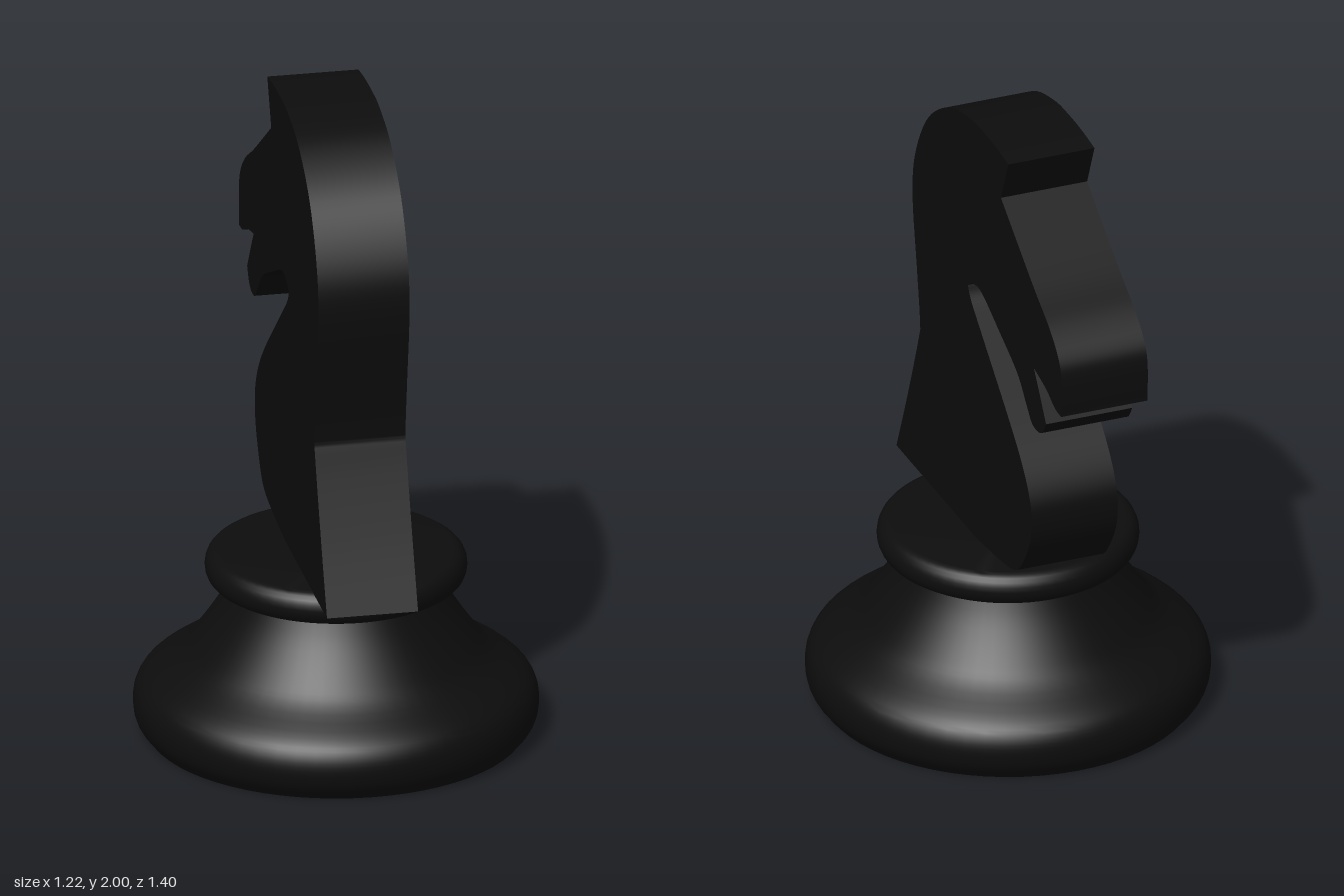
import * as THREE from 'three';
import { toCreasedNormals } from 'three/addons/utils/BufferGeometryUtils.js';

const AXIS_Z = 0.09;      // the turned base sits slightly forward
const TURN = 0.187;       // the head is turned a little to its left
const THICKNESS = 0.28;

const vec = ([x, y]) => new THREE.Vector2(x, y);

// Side outline as smooth runs that meet in sharp corners (x = forward, y = up)
function headShape() {
  const runs = [
    // back of the neck and crown
    [[-0.549, 0.584], [-0.46, 0.8], [-0.37, 1.04], [-0.36, 1.1], [-0.385, 1.27], [-0.42, 1.5], [-0.397, 1.66],
      [-0.294, 1.83], [-0.132, 1.945], [0.03, 1.992], [0.138, 2], [0.25, 1.998], [0.348, 1.988]],
    // ear front
    [[0.348, 1.988], [0.289, 1.845]],
    // forehead and nose
    [[0.289, 1.845], [0.543, 1.675], [0.678, 1.592], [0.753, 1.52], [0.775, 1.45], [0.772, 1.336]],
    // upper lip
    [[0.772, 1.336], [0.72, 1.341], [0.65, 1.372], [0.553, 1.394]],
    // lower lip
    [[0.553, 1.394], [0.588, 1.345], [0.651, 1.251]],
    // chin, jaw and throat, then chest
    [[0.651, 1.251], [0.62, 1.207], [0.58, 1.193], [0.535, 1.2], [0.488, 1.246], [0.418, 1.313], [0.272, 1.384],
      [0.137, 1.443], [0.07, 1.442], [0.024, 1.416]],
    [[0.024, 1.416], [0.05, 1.375], [0.138, 1.3], [0.354, 1.119], [0.462, 1.015], [0.521, 0.928], [0.535, 0.854],
      [0.516, 0.769], [0.446, 0.663], [0.381, 0.622], [0.246, 0.6], [0.06, 0.584]],
  ];
  const shape = new THREE.Shape();
  shape.moveTo(...runs[0][0]);
  for (const run of runs) {
    if (run.length === 2) shape.lineTo(...run[1]);
    else shape.splineThru(run.slice(1).map(vec));
  }
  shape.closePath();
  return shape;
}

export function createModel() {
  const model = new THREE.Group();
  model.name = 'chessPiece';
  const black = new THREE.MeshStandardMaterial({ color: 0x0d0d0d });
  black.name = 'black';

  const add = (name, geometry) => {
    const mesh = new THREE.Mesh(toCreasedNormals(geometry, 0.6), black);
    mesh.name = name;
    mesh.position.z = AXIS_Z;
    model.add(mesh);
    return mesh;
  };

  // Turned foot: flat bottom, rounded rim, flared stem
  const flare = new THREE.SplineCurve([[0.57, 0], [0.603, 0.045], [0.612, 0.1], [0.6, 0.15], [0.565, 0.19],
    [0.47, 0.255], [0.416, 0.318], [0.353, 0.414], [0.31, 0.5]].map(vec)).getPoints(32);
  add('base', new THREE.LatheGeometry([vec([0, 0]), ...flare], 64));

  // Collar with a half-round edge
  const edge = [];
  for (let i = 0; i <= 10; i++) {
    const a = -Math.PI / 2 + (Math.PI * i) / 10;
    edge.push(vec([0.355 + 0.041 * Math.cos(a), 0.534 + 0.051 * Math.sin(a)]));
  }
  add('collar', new THREE.LatheGeometry([vec([0, 0.483]), ...edge, vec([0, 0.585])], 64));

  // Horse head cut from a thick slab
  const slab = new THREE.ExtrudeGeometry(headShape(), { depth: THICKNESS, bevelEnabled: false, curveSegments: 5 });
  slab.translate(0, 0, -THICKNESS / 2);
  add('horseHead', slab).rotation.y = Math.PI / 2 - TURN;

  return model;
}
